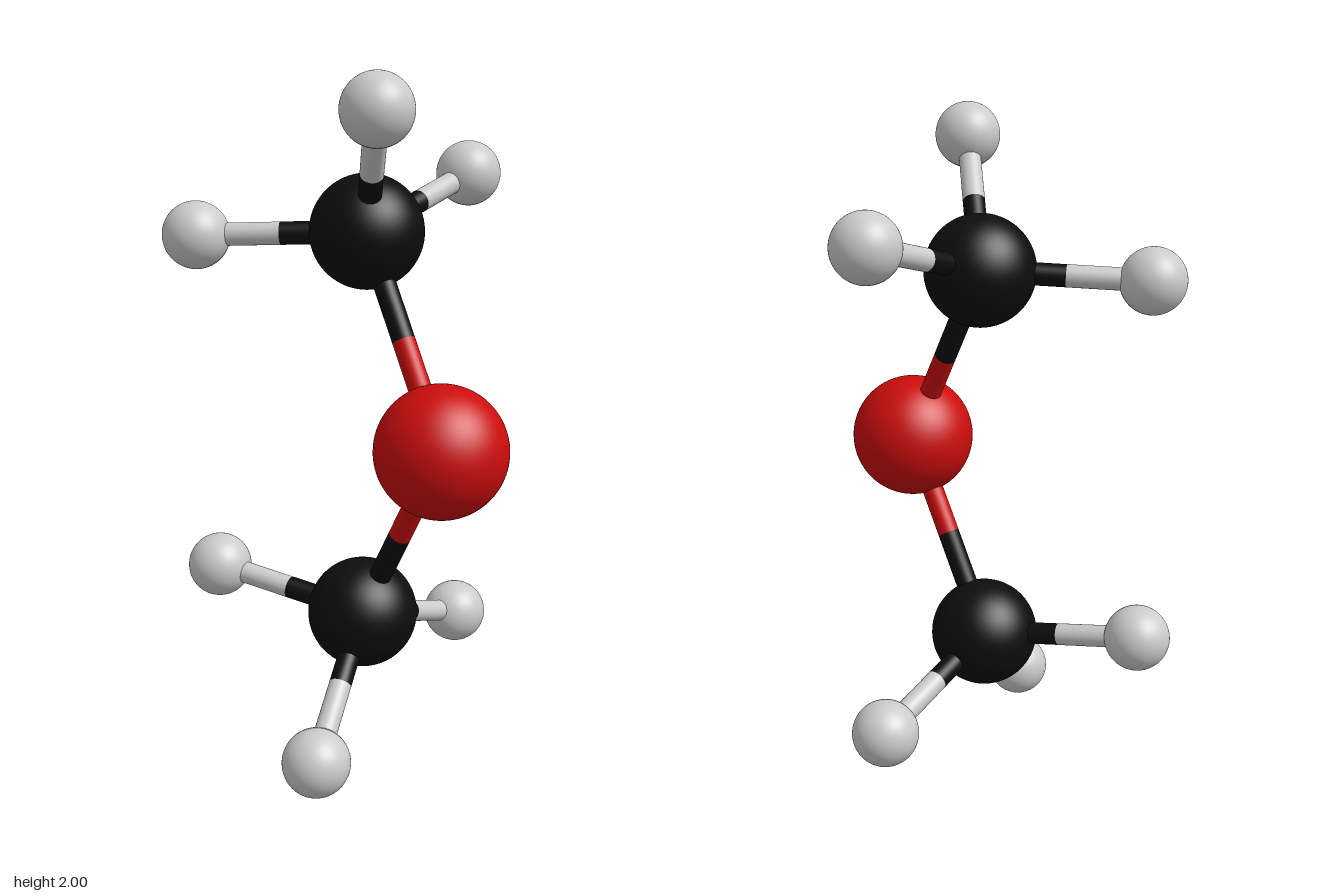
import * as THREE from 'three';

const BOND_RADIUS = 0.033;

const kinds = {
  oxygen: { radius: 0.189, material: new THREE.MeshStandardMaterial({ color: 0xcc0d0d }) },
  carbon: { radius: 0.164, material: new THREE.MeshStandardMaterial({ color: 0x0d0d0d }) },
  hydrogen: { radius: 0.098, material: new THREE.MeshStandardMaterial({ color: 0xcccccc }) },
};

const atoms = {
  oxygen: ['oxygen', -0.10, 0.977, 0.352],
  upperCarbon: ['carbon', -0.053, 1.55, 0.026],
  lowerCarbon: ['carbon', -0.074, 0.403, 0.026],
  upperHydrogenFront: ['hydrogen', -0.283, 1.903, 0.281],
  upperHydrogenLeft: ['hydrogen', 0.429, 1.68, -0.004],
  upperHydrogenBack: ['hydrogen', -0.339, 1.531, -0.38],
  lowerHydrogenFront: ['hydrogen', -0.432, 0.1, 0.187],
  lowerHydrogenLeft: ['hydrogen', 0.398, 0.252, -0.006],
  lowerHydrogenBack: ['hydrogen', -0.23, 0.475, -0.446],
};

// Each carbon joins the oxygen and its own three hydrogens
const bonds = [];
for (const level of ['upper', 'lower']) {
  bonds.push([`${level}Carbon`, 'oxygen']);
  for (const side of ['Front', 'Left', 'Back']) {
    bonds.push([`${level}Carbon`, `${level}Hydrogen${side}`]);
  }
}

const position = (name) => new THREE.Vector3(...atoms[name].slice(1));

// Half of a bond: a rod from an atom's centre to the bond's midpoint
function halfBond(from, to) {
  const start = position(from);
  const middle = start.clone().lerp(position(to), 0.5);
  const axis = middle.clone().sub(start);
  const rod = new THREE.Mesh(
    new THREE.CylinderGeometry(BOND_RADIUS, BOND_RADIUS, axis.length(), 32),
    kinds[atoms[from][0]].material
  );
  rod.position.copy(start).lerp(middle, 0.5);
  rod.quaternion.setFromUnitVectors(new THREE.Vector3(0, 1, 0), axis.normalize());
  rod.name = `${from}BondHalf`;
  return rod;
}

export function createModel() {
  const model = new THREE.Group();
  model.name = 'molecule';

  // Atom balls
  for (const [name, [kind]] of Object.entries(atoms)) {
    const { radius, material } = kinds[kind];
    const ball = new THREE.Mesh(new THREE.SphereGeometry(radius, 64, 40), material);
    ball.position.copy(position(name));
    ball.name = `${name}Atom`;
    model.add(ball);
  }

  // Two-coloured bond rods
  for (const [a, b] of bonds) {
    const bond = new THREE.Group();
    bond.name = `${a}To${b[0].toUpperCase()}${b.slice(1)}Bond`;
    bond.add(halfBond(a, b), halfBond(b, a));
    model.add(bond);
  }
  return model;
}
